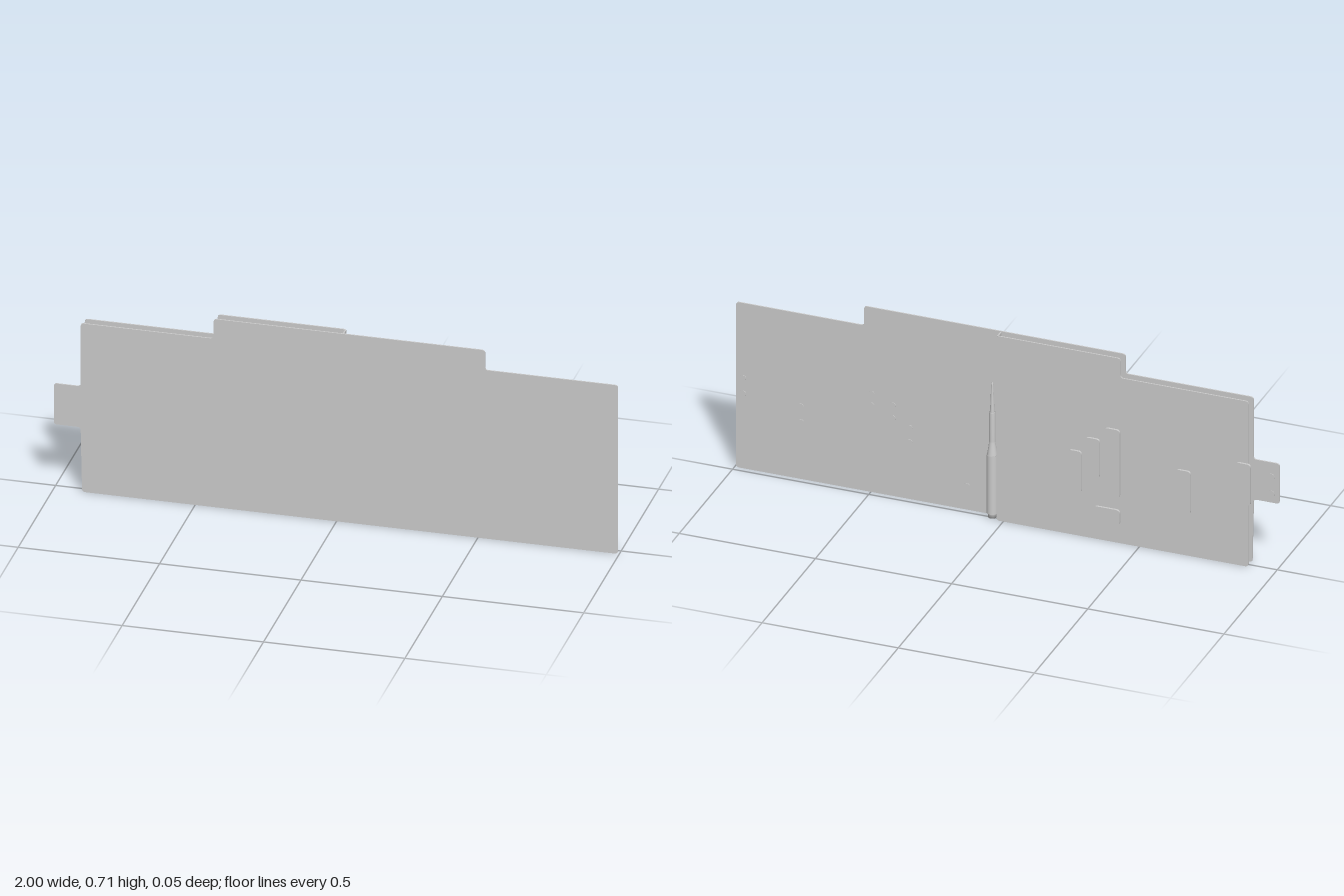
import * as THREE from 'three';

const grey = new THREE.MeshStandardMaterial({ color: 0xcccccc, side: THREE.DoubleSide });

// Outline through the given corners, each one rounded by radius r
function roundedShape(points, r) {
  const shape = new THREE.Shape();
  const pts = points.map(([x, y]) => new THREE.Vector2(x, y));
  pts.forEach((p, i) => {
    const prev = pts[(i + pts.length - 1) % pts.length];
    const next = pts[(i + 1) % pts.length];
    const a = p.clone().add(prev.clone().sub(p).setLength(r));
    const b = p.clone().add(next.clone().sub(p).setLength(r));
    if (i === 0) shape.moveTo(a.x, a.y);
    else shape.lineTo(a.x, a.y);
    shape.quadraticCurveTo(p.x, p.y, b.x, b.y);
  });
  shape.closePath();
  return shape;
}

export function createModel() {
  const group = new THREE.Group();

  function add(name, geometry, x = 0, y = 0, z = 0) {
    const mesh = new THREE.Mesh(geometry, grey);
    mesh.name = name;
    mesh.position.set(x, y, z);
    group.add(mesh);
    return mesh;
  }

  // Flat card cut from a rounded outline, spanning z0 to z1
  function card(name, points, r, z0, z1) {
    const geometry = new THREE.ExtrudeGeometry(roundedShape(points, r), {
      depth: z1 - z0, bevelEnabled: false, curveSegments: 6,
    });
    return add(name, geometry, 0, 0, z0);
  }

  // Full-width front cover with top index tab and side closing tab
  card('frontCover', [
    [-0.9, 0], [0.995, 0], [0.995, 0.64], [0.525, 0.64], [0.525, 0.715],
    [-0.435, 0.715], [-0.435, 0.64], [-0.905, 0.64], [-0.905, 0.4],
    [-1, 0.4], [-1, 0.245], [-0.905, 0.245],
  ], 0.012, 0.02, 0.025);

  // Half-width back cover
  card('backCover', [
    [-0.9, 0], [0.025, 0], [0.025, 0.715], [-0.43, 0.715],
    [-0.43, 0.64], [-0.9, 0.64],
  ], 0.012, -0.016, -0.011);

  // Spine joining both covers
  add('spine', new THREE.BoxGeometry(0.005, 0.711, 0.036), 0.022, 0.3575, 0.005);

  // Bottom gusset, rising gently away from the spine
  const gusset = add('bottomGusset', new THREE.BoxGeometry(0.825, 0.003, 0.033), -0.39, 0.023, 0.005);
  gusset.rotation.z = -0.048;

  // Raised plates on the back cover: x0, x1, y0, y1
  [
    [-0.29, -0.24, 0.17, 0.33],
    [-0.356, -0.302, 0.24, 0.39],
    [-0.43, -0.372, 0.175, 0.44],
    [-0.43, -0.334, 0.07, 0.13],
    [-0.69, -0.635, 0.165, 0.33],
    [-0.91, -0.855, 0.24, 0.4],
  ].forEach(([x0, x1, y0, y1], i) => {
    card(`backPlate${i + 1}`, [[x0, y0], [x1, y0], [x1, y1], [x0, y1]], 0.014, -0.024, -0.015);
  });

  // Small flat studs on the inner face of the front cover
  const stud = new THREE.CylinderGeometry(0.012, 0.012, 0.003, 16).rotateX(Math.PI / 2);
  [
    [0.97, 0.35], [0.97, 0.29], [0.757, 0.28], [0.757, 0.22],
    [0.498, 0.38], [0.498, 0.335], [0.42, 0.35], [0.42, 0.3],
    [0.358, 0.275], [0.358, 0.22], [0.147, 0.09],
    [-0.97, 0.345], [-0.97, 0.28],
  ].forEach(([x, y], i) => add(`stud${i + 1}`, stud, x, y, 0.0195));

  // Stylus standing along the spine: separate lathes keep the steps sharp
  const stylus = new THREE.Group();
  stylus.name = 'stylus';
  const lathe = (name, profile) => {
    const points = profile.map(([r, y]) => new THREE.Vector2(r, y));
    const mesh = new THREE.Mesh(new THREE.LatheGeometry(points, 24), grey);
    mesh.name = name;
    stylus.add(mesh);
  };
  lathe('stylusEndCap', [[0, 0.002], [0.014, 0.002], [0.014, 0.02]]);
  lathe('stylusBase', [[0.014, 0.02], [0.02, 0.02]]);
  lathe('stylusBarrel', [[0.02, 0.02], [0.02, 0.245]]);
  lathe('stylusTaper', [[0.018, 0.245], [0.015, 0.265], [0.012, 0.285], [0.011, 0.295]]);
  lathe('stylusGrip', [[0.011, 0.29], [0.011, 0.408], [0.008, 0.408]]);
  lathe('stylusTip', [[0.008, 0.408], [0.006, 0.46], [0.004, 0.51], [0.003, 0.52], [0, 0.525]]);
  stylus.position.set(0.046, 0, -0.001);
  group.add(stylus);

  return group;
}
